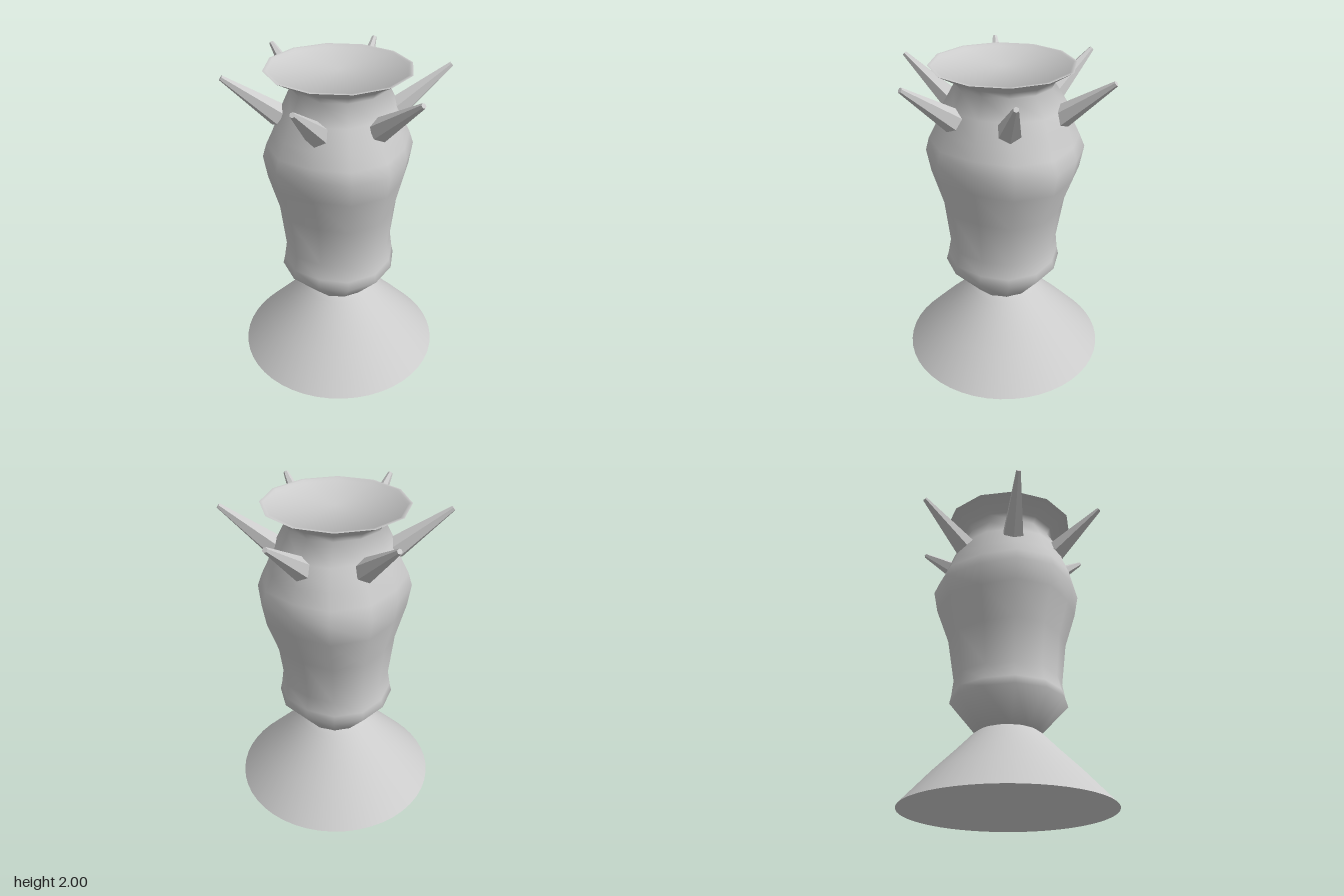
import * as THREE from 'three';
import { mergeVertices, toCreasedNormals } from 'three/addons/utils/BufferGeometryUtils.js';

const material = new THREE.MeshStandardMaterial({ color: 0xcccccc, side: THREE.DoubleSide });

function addMesh(parent, name, geometry) {
  const mesh = new THREE.Mesh(geometry, material);
  mesh.name = name;
  parent.add(mesh);
  return mesh;
}

// Lathe whose rings are reshaped: [y, half width, front depth, back depth, roundness]
function ringedBody(rings, sides) {
  const geo = new THREE.LatheGeometry(rings.map((r) => new THREE.Vector2(1, r[0])), sides);
  const pos = geo.attributes.position;
  for (let i = 0; i < pos.count; i++) {
    const [y, width, front, back, p] = rings[i % rings.length];
    const x = pos.getX(i), z = pos.getZ(i);
    const k = Math.pow(Math.abs(x) ** p + Math.abs(z) ** p, -1 / p);
    pos.setXYZ(i, x * k * width, y, z * k * (z > 0 ? front : back));
  }
  geo.deleteAttribute('uv');
  geo.deleteAttribute('normal');
  return toCreasedNormals(mergeVertices(geo, 1e-4), 1.25);
}

export function createModel() {
  const model = new THREE.Group();
  model.name = 'spikedVase';

  // Hollow flared foot
  const footProfile = [[0.66, 0], [0.475, 0.2], [0.325, 0.35], [0.23, 0.45], [0.19, 0.48]];
  addMesh(model, 'foot', new THREE.LatheGeometry(
    footProfile.map(([r, y]) => new THREE.Vector2(r, y)), 48));

  // Faceted body with a squarish belly, narrow neck and flared rim
  addMesh(model, 'body', ringedBody([
    [0.45, 0, 0, 0, 2],
    [0.47, 0.2, 0.2, 0.2, 2],
    [0.665, 0.365, 0.38, 0.36, 2.2],
    [0.72, 0.35, 0.36, 0.345, 2.3],
    [0.82, 0.33, 0.335, 0.33, 2.5],
    [1.1, 0.355, 0.36, 0.37, 2.7],
    [1.33, 0.41, 0.425, 0.45, 2.8],
    [1.47, 0.43, 0.45, 0.475, 2.8],
    [1.55, 0.415, 0.44, 0.45, 2.5],
    [1.64, 0.385, 0.405, 0.42, 2.2],
    [1.77, 0.345, 0.365, 0.385, 2],
    [1.89, 0.29, 0.295, 0.3, 2],
    [1.93, 0.315, 0.32, 0.32, 2],
    [2, 0.44, 0.445, 0.43, 2],
    [2, 0.42, 0.425, 0.41, 2],
    [1.985, 0.41, 0.415, 0.4, 2],
    [1.985, 0, 0, 0, 2],
  ], 12));

  // Ring of six tapered, faceted spikes leaning outward
  const spikes = new THREE.Group();
  spikes.name = 'spikes';
  model.add(spikes);
  const root = new THREE.Vector3(0, 1.725, 0.355);
  const tip = new THREE.Vector3(0, 1.975, 0.675);
  const axis = tip.clone().sub(root);
  const spikeGeo = new THREE.CylinderGeometry(0.016, 0.073, axis.length(), 6).toNonIndexed();
  spikeGeo.computeVertexNormals();
  spikeGeo.applyQuaternion(new THREE.Quaternion().setFromUnitVectors(
    new THREE.Vector3(0, 1, 0), axis.clone().normalize()));
  const mid = root.clone().lerp(tip, 0.5);
  spikeGeo.translate(mid.x, mid.y, mid.z);
  for (let i = 0; i < 6; i++) {
    addMesh(spikes, 'spike', spikeGeo).rotation.y = (i * Math.PI) / 3;
  }

  return model;
}
